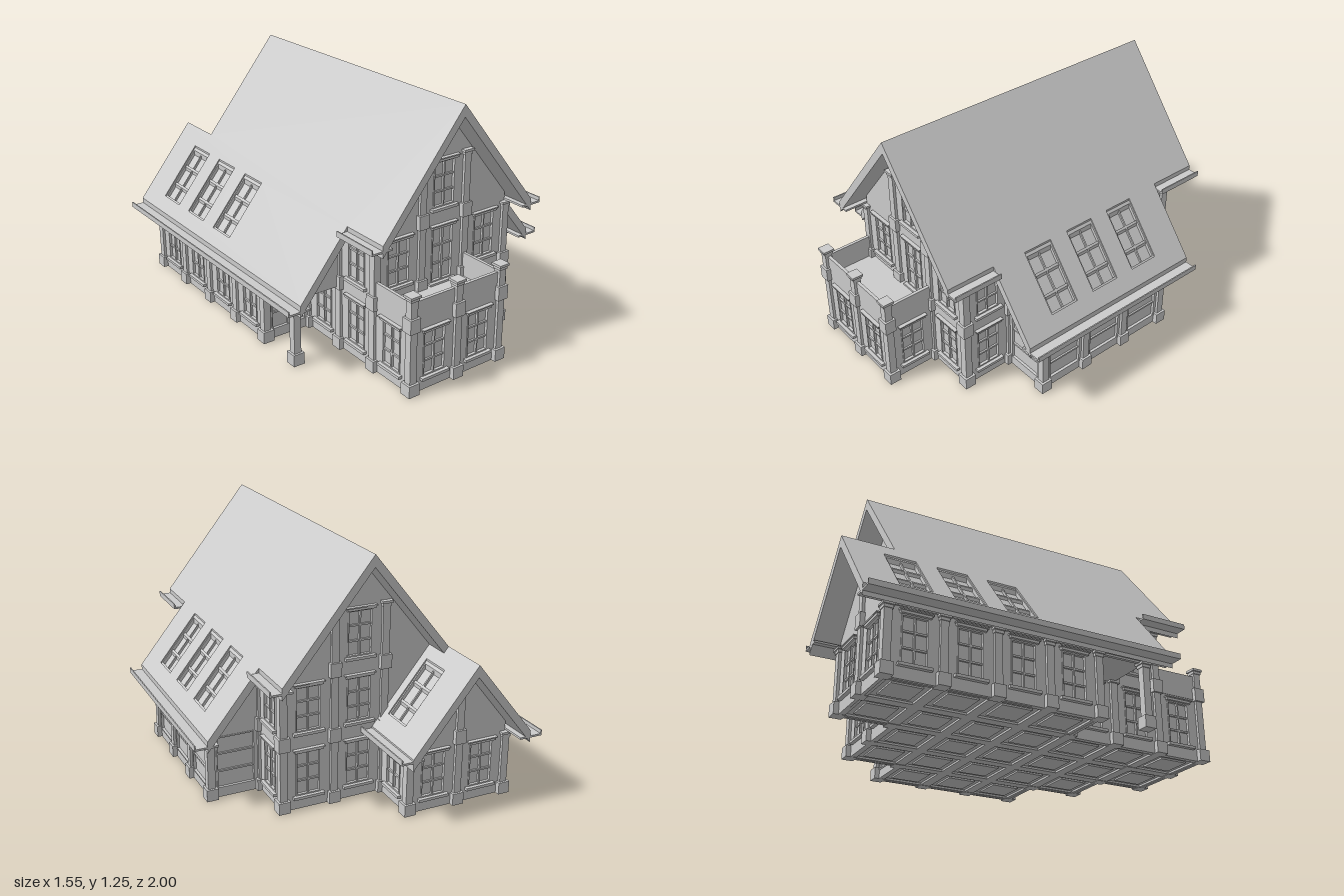
import * as THREE from 'three';

const CELL = 0.2625, STOREY = 0.33, SLOPE = 1.236;
const gridX = (a) => -0.65625 + CELL * a;
const gridZ = (b) => 0.97 - CELL * b;
// Occupied ground-floor bays, front row first
const PLAN = ['.##..', '.###.', '.####', '#####', '#####', '####.', '##...'];
const occupied = (i, j) => PLAN[j]?.[i] === '#';
const upstairs = (i, j) => i >= 1 && i <= 3 && j >= 1 && j <= 5;

const grey = new THREE.MeshStandardMaterial({ color: 0xcccccc, side: THREE.DoubleSide });

function add(parent, name, geometry, x = 0, y = 0, z = 0) {
  const mesh = new THREE.Mesh(geometry, grey);
  mesh.name = name;
  mesh.position.set(x, y, z);
  parent.add(mesh);
  return mesh;
}

const box = (parent, name, w, h, d, x, y, z) =>
  add(parent, name, new THREE.BoxGeometry(w, h, d), x, y, z);

function outline(points, holes = []) {
  const vectors = (list) => list.map(([x, y]) => new THREE.Vector2(x, y));
  const shape = new THREE.Shape(vectors(points));
  holes.forEach((h) => shape.holes.push(new THREE.Path(vectors(h))));
  return shape;
}

const rect = (x0, x1, y0, y1) => [[x0, y0], [x1, y0], [x1, y1], [x0, y1]];
const extrude = (shape, depth) => new THREE.ExtrudeGeometry(shape, { depth, bevelEnabled: false });

// Opening styles, heights measured from the storey floor
const STYLES = {
  window: { w: 0.13, y0: 0.07, y1: 0.297, mid: 0.008, trim: true },
  balconyDoor: { w: 0.13, y0: 0.02, y1: 0.297, mid: 0.012, trim: true },
  door: { w: 0.2, y0: 0.045, y1: 0.322, mid: 0.014, handles: true },
  sunroom: { w: 0.2, y0: 0.045, y1: 0.322, mid: 0 },
};

function fillOpening(parent, style, floor) {
  const { w, y0, y1, mid, trim, handles } = STYLES[style];
  const h = y1 - y0, cy = floor + (y0 + y1) / 2, b = 0.007;
  const group = new THREE.Group();
  group.name = style;
  group.position.y = cy;
  parent.add(group);
  add(group, 'glass', new THREE.PlaneGeometry(w, h), 0, 0, -0.006);
  const frame = outline(rect(-w / 2, w / 2, -h / 2, h / 2), [rect(b - w / 2, w / 2 - b, b - h / 2, h / 2 - b)]);
  add(group, 'frame', extrude(frame, 0.014), 0, 0, -0.006);
  if (mid) box(group, 'centreStile', mid, h, 0.012, 0, 0, -0.001);
  for (const t of [-1, 1]) {
    box(group, 'crossBar', w, 0.009, 0.009, 0, t * h / 6, -0.002);
    if (handles) box(group, 'doorHandle', 0.02, 0.006, 0.012, t * 0.018, 0, 0.01);
  }
  if (trim) {
    box(group, 'sill', 0.16, 0.014, 0.03, 0, -h / 2 - 0.007, 0.01);
    box(group, 'lintel', 0.146, 0.012, 0.024, 0, h / 2 + 0.006, 0.008);
    box(group, 'lintelCap', 0.16, 0.006, 0.03, 0, h / 2 + 0.015, 0.01);
  }
}

// Wall in a local frame whose +z points outdoors
function wall(parent, name, points, x, z, angle, style, floor = 0) {
  const group = new THREE.Group();
  group.name = name;
  group.position.set(x, 0, z);
  group.rotation.y = angle;
  const s = STYLES[style];
  const holes = s ? [rect(-s.w / 2, s.w / 2, floor + s.y0, floor + s.y1)] : [];
  add(group, 'wallPanel', extrude(outline(points, holes), 0.016), 0, 0, -0.011);
  if (s) fillOpening(group, style, floor);
  parent.add(group);
}

const SIDES = [[0, -1, 0], [1, 0, Math.PI / 2], [0, 1, Math.PI], [-1, 0, -Math.PI / 2]];

function bayWalls(parent, i, j, inside, floor, styleFor, name, top = floor + STOREY) {
  for (const [di, dj, angle] of SIDES) {
    if (inside(i + di, j + dj)) continue;
    const x = gridX(i + 0.5 + di / 2), z = gridZ(j + 0.5 + dj / 2);
    wall(parent, name, rect(-CELL / 2, CELL / 2, floor, top), x, z, angle, styleFor(di, dj), floor);
  }
}

function column(parent, x, z, top) {
  const group = new THREE.Group();
  group.name = 'column';
  group.position.set(x, 0, z);
  box(group, 'base', 0.06, 0.06, 0.06, 0, 0.03, 0);
  box(group, 'shaft', 0.038, top, 0.038, 0, top / 2, 0);
  for (const y of [0.355, 0.685]) if (top > y + 0.03) box(group, 'block', 0.058, 0.07, 0.058, 0, y, 0);
  box(group, 'neck', 0.046, 0.014, 0.046, 0, top - 0.02, 0);
  box(group, 'cap', 0.058, 0.012, 0.058, 0, top - 0.006, 0);
  parent.add(group);
}

// Drops every vertex by its distance from the ridge
function drape(geometry, ridgeX, ridgeY) {
  const g = geometry.index ? geometry.toNonIndexed() : geometry;
  const p = g.attributes.position;
  for (let k = 0; k < p.count; k++) p.setY(k, p.getY(k) + ridgeY - SLOPE * Math.abs(p.getX(k) - ridgeX));
  g.computeVertexNormals();
  return g;
}

// Roof slope from its plan outline (x, z) and the centres of its skylights
function roofSlope(parent, name, plan, skylights, ridgeX, ridgeY) {
  const flip = (list) => list.map(([x, z]) => [x, -z]);
  const holes = skylights.map(([x, z]) => flip(rect(x - 0.1, x + 0.1, z - 0.08, z + 0.08)));
  const slab = extrude(outline(flip(plan), holes), 0.06).rotateX(-Math.PI / 2).translate(0, -0.06, 0);
  add(parent, name, drape(slab, ridgeX, ridgeY));
  for (const [x, z] of skylights) {
    const part = (label, w, h, d, dx, y, dz) =>
      add(parent, label, drape(new THREE.BoxGeometry(w, h, d).translate(x + dx, y, z + dz), ridgeX, ridgeY));
    part('skylightGlass', 0.2, 0.006, 0.16, 0, -0.04, 0);
    part('skylightBar', 0.2, 0.02, 0.008, 0, -0.03, 0);
    for (const t of [-1, 1]) {
      part('skylightBar', 0.008, 0.02, 0.16, t * 0.034, -0.03, 0);
      part('skylightFrame', 0.2, 0.03, 0.008, 0, -0.025, t * 0.076);
      part('skylightFrame', 0.01, 0.03, 0.16, t * 0.095, -0.025, 0);
    }
  }
}

function gutter(parent, inner, outer, y, z0, z1) {
  const length = z1 - z0, z = (z0 + z1) / 2;
  box(parent, 'gutterBoard', Math.abs(outer - inner), 0.01, length, (inner + outer) / 2, y + 0.005, z);
  box(parent, 'gutterLip', 0.006, 0.028, length, outer - Math.sign(outer - inner) * 0.003, y + 0.014, z);
}

export function createModel() {
  const house = new THREE.Group();
  house.name = 'house';

  // Floor with panelled underside, ground-floor and upper walls
  for (let j = 0; j < 7; j++) for (let i = 0; i < 5; i++) {
    const x = gridX(i + 0.5), z = gridZ(j + 0.5);
    if (occupied(i, j)) {
      box(house, 'floorSlab', CELL, 0.038, CELL, x, 0.031, z);
      box(house, 'floorPanel', 0.15, 0.012, 0.15, x, 0.01, z);
      const rim = outline(rect(-CELL / 2, CELL / 2, -CELL / 2, CELL / 2), [rect(-0.105, 0.105, -0.105, 0.105)]);
      add(house, 'floorBeams', extrude(rim, 0.02).rotateX(-Math.PI / 2), x, 0.002, z);
      bayWalls(house, i, j, occupied, 0, (di, dj) =>
        i === 4 ? 'sunroom' : i === 0 && dj === -1 ? 'door' : 'window', 'groundWall');
    }
    if (upstairs(i, j)) {
      bayWalls(house, i, j, upstairs, STOREY, (di, dj) => {
        if (dj === -1) return i === 2 ? 'balconyDoor' : 'window';
        if (dj === 1) return i === 1 ? null : 'window';
        return j === 1 || (j === 5 && di === 1) ? 'window' : null;
      }, 'upperWall');
    }
  }

  // Balcony over the front bay
  box(house, 'balconyFloor', CELL * 2, 0.02, CELL, gridX(2), 0.33, gridZ(0.5));
  box(house, 'balconyParapet', CELL * 2, 0.13, 0.016, gridX(2), 0.395, gridZ(0) - 0.003);
  for (const a of [1, 3]) box(house, 'balconyParapet', 0.016, 0.13, CELL, gridX(a), 0.395, gridZ(0.5));

  // Columns at every outer corner of the grid
  for (let b = 0; b <= 7; b++) for (let a = 0; a <= 5; a++) {
    const n = [[a, b], [a - 1, b], [a, b - 1], [a - 1, b - 1]].filter(([i, j]) => occupied(i, j)).length;
    const porchPost = a === 0 && b === 2;
    if (!porchPost && (n === 0 || (n === 4 && b !== 1))) continue;
    let top = STOREY;
    if (b === 0) top = 0.5;
    else if (a === 1 || a === 4) top = 0.66;
    else if ((a === 2 || a === 3) && (b === 1 || b === 6)) top = 0.985;
    column(house, gridX(a), gridZ(b), top);
  }

  // Main gables
  const e = gridX(4), o = gridX(5);
  const gable = [[-e, 0.66], [e, 0.66], [e, 0.71], [0, 1.2], [-e, 0.71]];
  wall(house, 'frontGable', gable, 0, gridZ(1), 0, 'window', 0.66);
  wall(house, 'backGable', gable, 0, gridZ(6), Math.PI, 'window', 0.66);

  // Half gables of the side wings and the full gable of the rear wing
  const half = (s) => [[s * e, STOREY], [s * o, STOREY], [s * o, 0.385], [s * e, 0.71]];
  wall(house, 'sunroomFrontGable', half(1), 0, gridZ(2), 0);
  wall(house, 'sunroomBackGable', half(-1), 0, gridZ(5), Math.PI);
  wall(house, 'porchGable', half(-1), 0, gridZ(2), 0);
  wall(house, 'rearWingGable', [[0.131, STOREY], [o, STOREY], [o, 0.385], [e, 0.705], [0.131, 0.375]],
    0, gridZ(7), Math.PI);

  // Porch ceiling and beam
  box(house, 'porchCeiling', CELL, 0.012, CELL, gridX(0.5), 0.336, gridZ(2.5));
  box(house, 'porchBeam', 0.016, 0.05, CELL, gridX(0), 0.35, gridZ(2.5));

  // Roofs
  const rowZ = (j) => gridZ(j + 0.5);
  roofSlope(house, 'rightRoof',
    [[0, 0.835], [0.45, 0.835], [0.45, 0.575], [0.71, 0.575], [0.71, -0.475], [0.45, -0.475], [0.45, -0.74], [0, -0.74]],
    [2, 3, 4].map((j) => [0.555, rowZ(j)]), 0, 1.25);
  roofSlope(house, 'leftRoof',
    [[0, 0.835], [-0.45, 0.835], [-0.45, 0.575], [-0.71, 0.575], [-0.71, -1], [-0.4, -1], [-0.4, -0.74], [0, -0.74]],
    [4, 5, 6].map((j) => [-0.56, rowZ(j)]), 0, 1.25);
  roofSlope(house, 'rearWingRoof', rect(-0.4, -0.075, -1, -0.6), [[-0.235, rowZ(6)]], -0.4, 1.25 - 0.4 * SLOPE);

  // Gutters
  gutter(house, 0.655, 0.775, 0.335, -0.475, 0.575);
  gutter(house, -0.655, -0.775, 0.335, -1, 0.575);
  gutter(house, -0.135, -0.015, 0.335, -1, -0.605);
  gutter(house, 0.395, 0.51, 0.66, 0.575, 0.835);
  gutter(house, 0.395, 0.51, 0.66, -0.74, -0.475);
  gutter(house, -0.395, -0.51, 0.66, 0.575, 0.835);

  return house;
}
